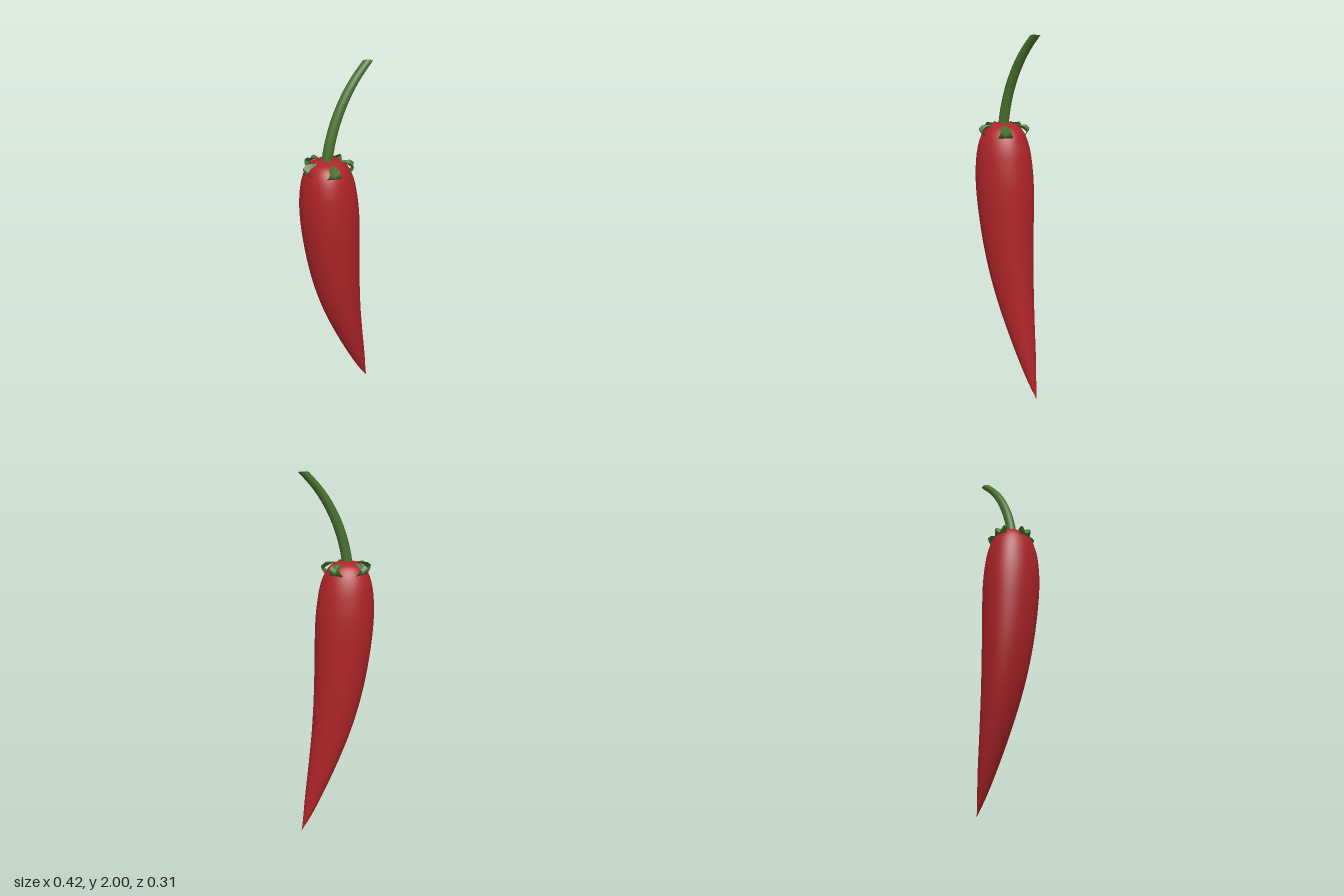
import * as THREE from 'three';

const red = new THREE.MeshStandardMaterial({ color: 0xae2428 });
red.name = 'pepperRed';
const green = new THREE.MeshStandardMaterial({ color: 0x4a722f, side: THREE.DoubleSide });
green.name = 'stemGreen';

// Smooth skin over horizontal rings; each key is [centre x, y, radius].
// stretch widens the rings along x, egg moves their widest point along x.
function loft(keys, steps, sides, stretch = 1, egg = 0) {
  const curve = new THREE.CatmullRomCurve3(keys.map((k) => new THREE.Vector3(...k)));
  const pos = [], index = [];
  for (let i = 0; i <= steps; i++) {
    const t = i / steps;
    const c = curve.getPoint(t);
    const r = Math.max(c.z, 0.0005);
    const rx = r * (1 + (stretch - 1) * t);
    for (let j = 0; j < sides; j++) {
      const a = (j / sides) * Math.PI * 2;
      pos.push(c.x + rx * Math.cos(a) - egg * r * Math.sin(a) ** 2, c.y, r * Math.sin(a));
      if (i < steps) {
        const k = i * sides + j, n = i * sides + ((j + 1) % sides);
        index.push(k, k + sides, n, n, k + sides, n + sides);
      }
    }
  }
  const g = new THREE.BufferGeometry();
  g.setAttribute('position', new THREE.Float32BufferAttribute(pos, 3));
  g.setIndex(index);
  g.computeVertexNormals();
  return g;
}

// Folded leaf: rows of [midrib radius, midrib y, edge radius, edge y, half width]
function sepalGeometry() {
  const rows = [
    [0.055, 1.537, 0.055, 1.537, 0],
    [0.085, 1.525, 0.085, 1.535, 0.016],
    [0.108, 1.512, 0.113, 1.533, 0.026],
    [0.120, 1.502, 0.131, 1.518, 0.027],
    [0.122, 1.490, 0.127, 1.502, 0.031],
    [0.112, 1.480, 0.110, 1.482, 0.040],
    [0.105, 1.465, 0.105, 1.465, 0],
  ];
  const pos = [];
  for (const s of [-1, 1]) {
    for (let i = 0; i < rows.length - 1; i++) {
      const [p, q] = [rows[i], rows[i + 1]];
      const a = [p[0], p[1], 0], b = [p[2], p[3], s * p[4]];
      const c = [q[0], q[1], 0], d = [q[2], q[3], s * q[4]];
      // keep the upper side as the front on both halves
      const tris = s > 0 ? [a, b, c, c, b, d] : [a, c, b, c, d, b];
      pos.push(...tris.flat());
    }
  }
  const g = new THREE.BufferGeometry();
  g.setAttribute('position', new THREE.Float32BufferAttribute(pos, 3));
  g.computeVertexNormals();
  return g;
}

export function createModel() {
  const model = new THREE.Group();
  model.name = 'chiliPepper';
  const add = (name, geometry, material) => {
    const mesh = new THREE.Mesh(geometry, material);
    mesh.name = name;
    model.add(mesh);
    return mesh;
  };

  // Curved, tapering fruit with a domed top
  add('fruit', loft([
    [0.208, 0, 0], [0.173, 0.09, 0.022], [0.137, 0.2, 0.045], [0.075, 0.4, 0.079],
    [0.022, 0.6, 0.108], [-0.016, 0.8, 0.131], [-0.04, 1.0, 0.147], [-0.055, 1.2, 0.156],
    [-0.062, 1.32, 0.151], [-0.066, 1.42, 0.136], [-0.069, 1.49, 0.110],
    [-0.07, 1.525, 0.080], [-0.07, 1.541, 0.042], [-0.07, 1.546, 0],
  ], 78, 48, 1, 0.1), red);

  // Bent stem with an open, level-cut end
  add('stem', loft([
    [-0.076, 1.5, 0.028], [-0.068, 1.57, 0.027], [-0.046, 1.66, 0.026], [-0.008, 1.76, 0.025],
    [0.044, 1.855, 0.024], [0.1, 1.93, 0.023], [0.167, 2.0, 0.022],
  ], 24, 20, 1.25), green);

  // Five small sepals around the stem
  const sepal = sepalGeometry();
  for (let i = 0; i < 5; i++) {
    const leaf = add('sepal' + (i + 1), sepal, green);
    leaf.position.x = -0.069;
    leaf.rotation.y = Math.PI + (i * Math.PI * 2) / 5;
  }
  return model;
}
